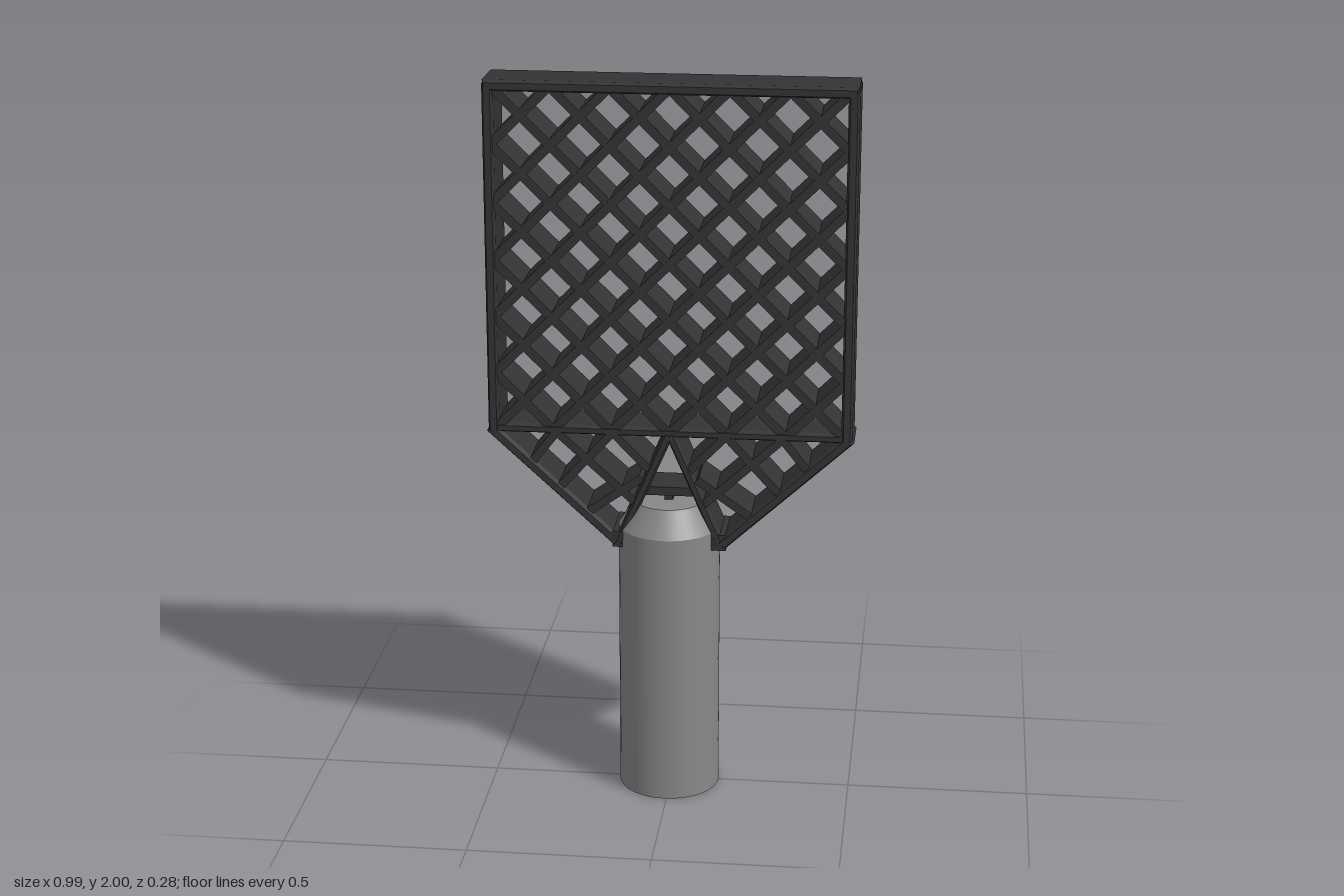
import * as THREE from 'three';

const dark = new THREE.MeshStandardMaterial({ color: 0x333333 });
const grey = new THREE.MeshStandardMaterial({ color: 0x888888 });

// Straight bar between two points of the fin plane
function bar(name, x0, y0, x1, y1, width, depth) {
  const length = Math.hypot(x1 - x0, y1 - y0);
  const mesh = new THREE.Mesh(new THREE.BoxGeometry(length, width, depth), dark);
  mesh.position.set((x0 + x1) / 2, (y0 + y1) / 2, 0);
  mesh.rotation.z = Math.atan2(y1 - y0, x1 - x0);
  mesh.name = name;
  return mesh;
}

// Frame bar with chamfered long edges
function rail(name, x0, y0, x1, y1, width = 0.03, depth = 0.162) {
  const mesh = bar(name, x0, y0, x1, y1, width, depth);
  const l = mesh.geometry.parameters.length ?? Math.hypot(x1 - x0, y1 - y0);
  const c = 0.006, w = width / 2 - c, h = l / 2 - c, t = 0.014;
  const shape = new THREE.Shape([[-h, -w], [h, -w], [h, w], [-h, w]].map(p => new THREE.Vector2(...p)));
  mesh.geometry = new THREE.ExtrudeGeometry(shape, {
    depth: depth - 2 * t, bevelEnabled: true, bevelThickness: t, bevelSize: c, bevelSegments: 1,
  });
  mesh.geometry.translate(0, 0, t - depth / 2);
  return mesh;
}

export function createModel() {
  const model = new THREE.Group();
  model.name = 'gridFin';

  const fin = new THREE.Group();
  fin.name = 'fin';
  fin.rotation.x = -0.006;
  fin.position.z = -0.005;
  model.add(fin);

  // Square part of the frame
  fin.add(rail('topRail', -0.49, 1.985, 0.49, 1.985));
  fin.add(rail('middleRail', -0.48, 1.05, 0.48, 1.05, 0.026, 0.152));

  // Diagonal lattice of 6 by 6 crossed cells
  const lattice = new THREE.Group();
  lattice.name = 'lattice';
  fin.add(lattice);
  const n = 6, left = -0.471, bottom = 1.05, cellX = 0.157, cellY = 0.156;
  for (let k = 1 - n; k < n; k++) {
    const i0 = Math.max(0, k), i1 = Math.min(n, n + k);
    const y0 = bottom + (i0 - k) * cellY, y1 = bottom + (i1 - k) * cellY;
    for (const s of [1, -1]) {
      lattice.add(bar('latticeStrut', s * (left + i0 * cellX), y0,
        s * (left + i1 * cellX), y1, 0.024, s > 0 ? 0.148 : 0.146));
    }
  }

  // Side rails and the tapering lower wings, mirrored
  for (const s of [-1, 1]) {
    fin.add(rail('sideRail', s * 0.477, 1.04, s * 0.477, 1.99));
    fin.add(rail('lowerEdge', s * 0.487, 1.05, s * 0.14, 0.732));
    fin.add(rail('innerBrace', 0, 1.05, s * 0.142, 0.725, 0.026, 0.156));
    fin.add(bar('wingFoot', s * 0.135, 0.72, s * 0.135, 0.765, 0.04, 0.154));
    const struts = [
      [0.375, 0.955, 0.3, 1.05], [0.3, 0.885, 0.15, 1.05], [0.225, 0.815, 0.075, 0.92],
      [0.314, 1.05, 0.088, 0.845], [0.157, 1.05, 0.055, 0.945],
    ];
    for (const [x0, y0, x1, y1] of struts) {
      fin.add(bar('wingStrut', s * x0, y0, s * x1, y1, 0.022, 0.146));
    }
  }

  // Link between the braces and the shaft
  fin.add(bar('crossBar', -0.075, 0.88, 0.07, 0.88, 0.024, 0.12));
  fin.add(bar('centrePin', -0.007, 0.8, -0.007, 0.88, 0.024, 0.04));

  // Shaft with a conical shoulder
  const shaft = new THREE.Group();
  shaft.name = 'shaft';
  shaft.position.x = -0.006;
  const body = new THREE.Mesh(new THREE.CylinderGeometry(0.139, 0.139, 0.77, 40), grey);
  body.name = 'shaftBody';
  body.position.y = 0.385;
  const shoulder = new THREE.Mesh(new THREE.CylinderGeometry(0.094, 0.139, 0.072, 40), grey);
  shoulder.name = 'shaftShoulder';
  shoulder.position.y = 0.806;
  shaft.add(body, shoulder);
  model.add(shaft);

  return model;
}
